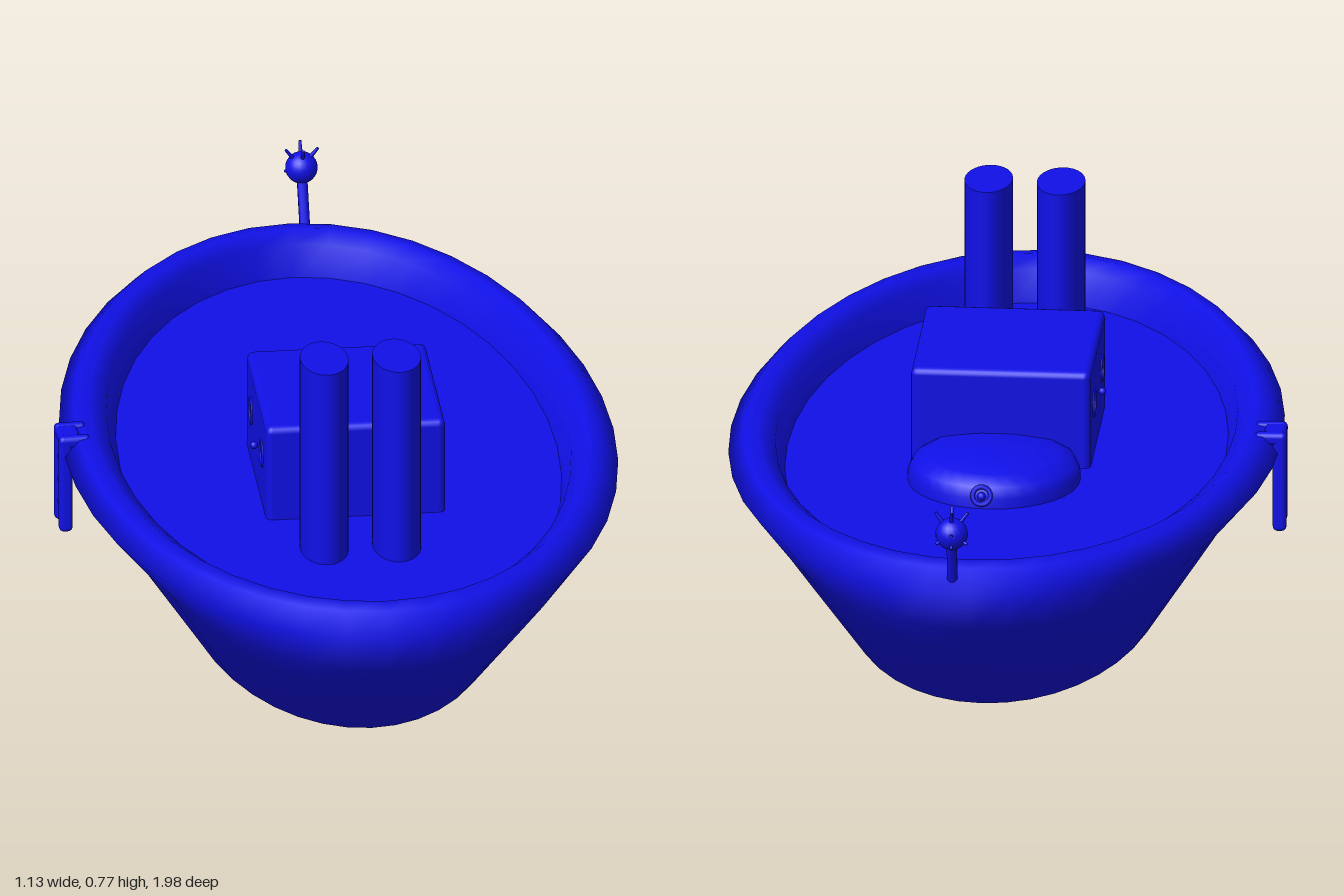
import * as THREE from 'three';
import { mergeVertices } from 'three/addons/utils/BufferGeometryUtils.js';
import { RoundedBoxGeometry } from 'three/addons/geometries/RoundedBoxGeometry.js';

const YAW = -0.05;     // the boat sits slightly turned
const DECK_Y = 0.35;

export function createModel() {
  const model = new THREE.Group();
  const paint = new THREE.MeshStandardMaterial({ color: 0x1010e8 });

  function add(name, geometry, x = 0, y = 0, z = 0, parent = model) {
    const mesh = new THREE.Mesh(geometry, paint);
    mesh.name = name;
    mesh.position.set(x, y, z);
    parent.add(mesh);
    return mesh;
  }

  // Straight round bar between two points
  function bar(name, a, b, radius, parent = model, endRadius = radius) {
    const from = new THREE.Vector3(...a), dir = new THREE.Vector3(...b).sub(from);
    const mesh = add(name, new THREE.CylinderGeometry(endRadius, radius, dir.length(), 10), 0, 0, 0, parent);
    mesh.position.copy(from).addScaledVector(dir, 0.5);
    mesh.quaternion.setFromUnitVectors(new THREE.Vector3(0, 1, 0), dir.normalize());
    return mesh;
  }

  // Skin of stacked ellipses: [half width, half length, height, rise at the ends]
  function ellipseLoft(rings, sides = 40) {
    const points = [], faces = [];
    rings.forEach(([rx, rz, y, rise], r) => {
      for (let i = 0; i < sides; i++) {
        const a = (i / sides) * Math.PI * 2, c = Math.cos(a);
        points.push(rx * Math.sin(a), y + rise * c * c, rz * c);
        if (r === 0) continue;
        const j = (i + 1) % sides, low = (r - 1) * sides, high = r * sides;
        faces.push(low + i, low + j, high + j, low + i, high + j, high + i);
      }
    });
    const geometry = new THREE.BufferGeometry();
    geometry.setAttribute('position', new THREE.Float32BufferAttribute(points, 3));
    geometry.setIndex(faces);
    const merged = mergeVertices(geometry, 1e-5);
    merged.computeVertexNormals();
    return merged;
  }

  // Hull with its rounded gunwale
  const hull = add('hull', ellipseLoft([
    [0, 0, 0, 0],
    [0.315, 0.62, 0.035, 0],
    [0.435, 0.845, 0.225, 0.005],
    [0.485, 0.94, 0.305, 0.008],
    [0.56, 0.97, 0.385, 0.015],
    [0.53, 0.92, 0.42, 0.018],
    [0.50, 0.885, 0.425, 0.02],
    [0.465, 0.86, 0.405, 0.015],
    [0.44, 0.848, 0.335, 0],
  ]), 0, 0, 0.03);
  hull.rotation.y = YAW;

  // Flat deck inside the gunwale
  const deck = add('deck', new THREE.CircleGeometry(1, 40).rotateX(-Math.PI / 2).scale(0.45, 1, 0.855), 0, DECK_Y, 0.03);
  deck.rotation.y = YAW;

  // Cabin with round windows and a door knob
  const cabin = new THREE.Group();
  cabin.name = 'cabin';
  cabin.position.set(0, 0, 0.125);
  cabin.rotation.y = YAW;
  model.add(cabin);
  add('cabinBody', new RoundedBoxGeometry(0.365, 0.235, 0.375, 2, 0.014), 0, 0.4375, 0, cabin);
  for (const side of [-1, 1]) {
    for (const z of [-0.1, 0.1]) {
      add('cabinWindow', new THREE.TorusGeometry(0.026, 0.004, 8, 20).rotateY(Math.PI / 2),
        side * 0.182, 0.46, z, cabin);
    }
  }
  add('doorKnob', new THREE.SphereGeometry(0.008, 12, 8), -0.19, 0.44, 0.02, cabin);

  // Low rounded house behind the cabin
  const housePoints = [[0.175, 0.335], [0.175, 0.37], [0.165, 0.392], [0.135, 0.41], [0.08, 0.42], [0, 0.424]]
    .map(([r, y]) => new THREE.Vector2(r, y));
  add('roundHouse', new THREE.LatheGeometry(housePoints, 32), 0.02, 0, -0.135);
  const porthole = add('roundHouseWindow', new THREE.TorusGeometry(0.018, 0.005, 8, 20), 0.04, 0.378, -0.308);
  porthole.rotation.x = 0.3;
  add('roundHouseKnob', new THREE.SphereGeometry(0.009, 12, 8), 0.04, 0.378, -0.312);

  // Pair of oval funnels
  for (const [x, z] of [[-0.097, 0.45], [0.05, 0.46]]) {
    const funnel = add('funnel', new THREE.CylinderGeometry(1, 1, 0.435, 32).scale(0.049, 1, 0.08), x, 0.5575, z);
    funnel.rotation.y = YAW;
  }

  // Stern lamp: leaning pole, ball and short spikes
  const lamp = new THREE.Group();
  lamp.name = 'sternLamp';
  model.add(lamp);
  const ball = new THREE.Vector3(0.08, 0.535, -0.945);
  bar('lampPole', [0.08, 0.4, -0.893], ball.toArray(), 0.011, lamp);
  add('lampBall', new THREE.SphereGeometry(0.033, 20, 14), ...ball.toArray(), lamp);
  const spikes = [[0, 1, -0.4], [0.6, 0.8, 0.1], [-0.6, 0.8, 0.1], [0, 0.9, 0.5],
    [0.8, -0.4, -0.5], [-0.8, -0.4, -0.5], [0, -0.6, -0.9], [0, 0.2, -1]];
  for (const s of spikes) {
    const dir = new THREE.Vector3(...s).normalize();
    const tip = dir.clone().multiplyScalar(dir.y > 0.6 ? 0.055 : 0.04).add(ball);
    bar('lampSpike', ball.toArray(), tip.toArray(), 0.006, lamp, 0.003);
  }

  // Boarding ladder hooked over the side
  const ladder = new THREE.Group();
  ladder.name = 'ladder';
  model.add(ladder);
  const railZ = [-0.054, 0.006];
  for (const z of railZ) {
    add('ladderRail', new RoundedBoxGeometry(0.028, 0.21, 0.024, 2, 0.01), -0.556, 0.32, z, ladder);
    add('ladderHook', new RoundedBoxGeometry(0.065, 0.026, 0.024, 2, 0.01), -0.538, 0.414, z, ladder);
  }
  add('ladderTop', new RoundedBoxGeometry(0.045, 0.022, 0.08, 2, 0.009), -0.547, 0.414, -0.024, ladder);
  for (const y of [0.26, 0.31, 0.36]) {
    bar('ladderRung', [-0.556, y, railZ[0]], [-0.556, y, railZ[1]], 0.009, ladder);
  }

  return model;
}
